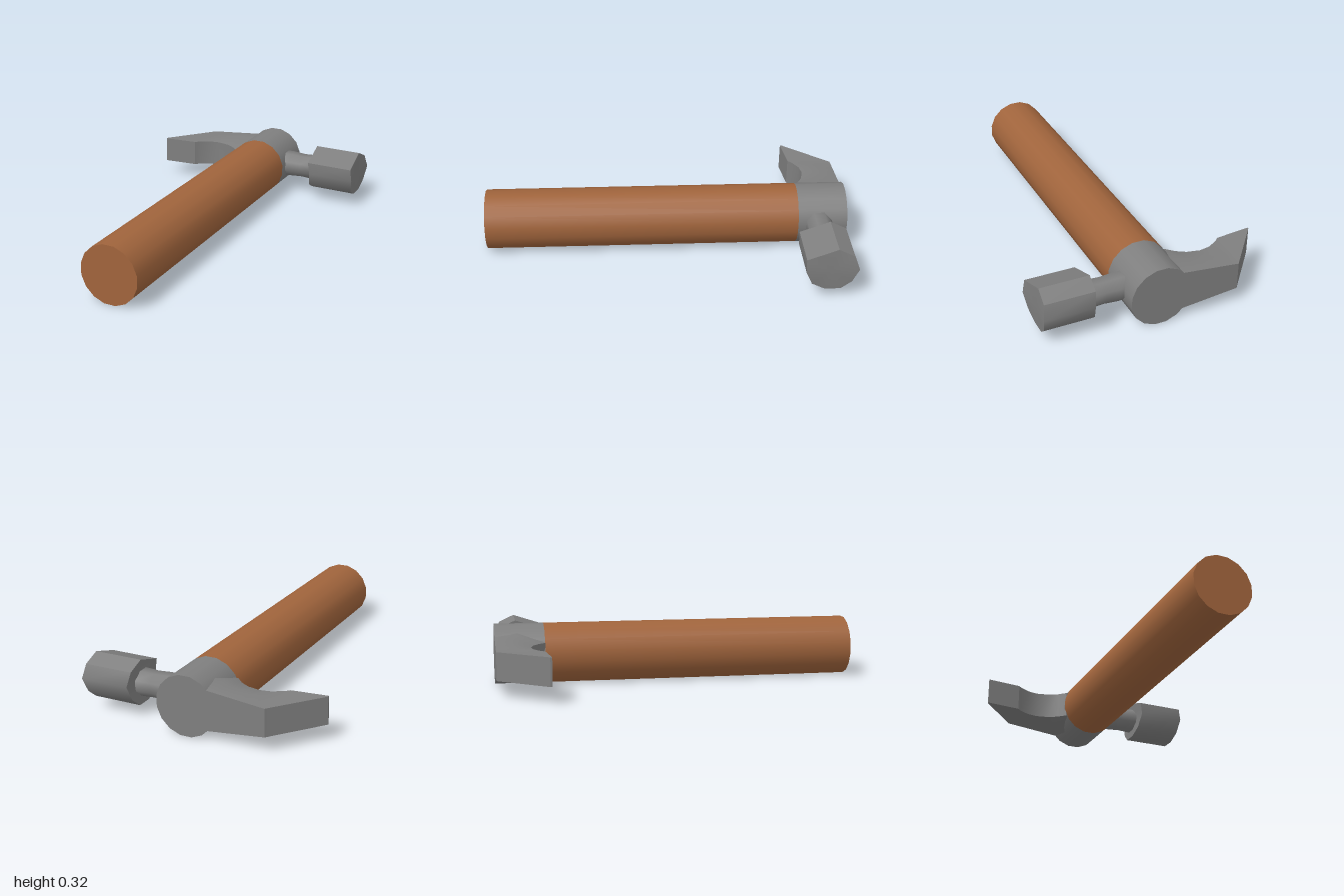
import * as THREE from 'three';
import { toCreasedNormals } from 'three/addons/utils/BufferGeometryUtils.js';

const steel = new THREE.MeshStandardMaterial({ color: 0x7f7f7f });
const wood = new THREE.MeshStandardMaterial({ color: 0xa0643c });

// Skin over rings of [x, y, z] points, ordered along +x, each counterclockwise seen from +x
function loft(rings, crease) {
  const n = rings[0].length;
  const pos = [];
  const tri = (...pts) => pts.forEach((p) => pos.push(...p));
  const centre = (ring) => [0, 1, 2].map((k) => ring.reduce((s, p) => s + p[k], 0) / n);
  for (let i = 0; i < rings.length - 1; i++) {
    for (let j = 0; j < n; j++) {
      const k = (j + 1) % n;
      const [a, b, c, d] = [rings[i][j], rings[i][k], rings[i + 1][j], rings[i + 1][k]];
      tri(a, b, c);
      tri(b, d, c);
    }
  }
  const first = rings[0], last = rings[rings.length - 1];
  for (let j = 0; j < n; j++) {
    const k = (j + 1) % n;
    tri(centre(first), first[k], first[j]);
    tri(centre(last), last[j], last[k]);
  }
  const g = new THREE.BufferGeometry();
  g.setAttribute('position', new THREE.Float32BufferAttribute(pos, 3));
  g.computeVertexNormals();
  return toCreasedNormals(g, crease);
}

// Round bar along z
function bar(z0, z1) {
  const g = new THREE.CylinderGeometry(0.165, 0.165, z1 - z0, 16);
  g.rotateY(Math.PI / 16);
  g.rotateX(Math.PI / 2);
  g.translate(0.015, 0.165, (z0 + z1) / 2);
  return g;
}

export function createModel() {
  const group = new THREE.Group();
  const add = (name, geometry, material) => {
    const mesh = new THREE.Mesh(geometry, material);
    mesh.name = name;
    group.add(mesh);
  };

  add('handle', bar(-0.73, 1), wood);
  add('headSocket', bar(-1, -0.73), steel);

  // Claw: six-sided sections as [x, back z, front z], flaring towards the socket
  const clawSections = [
    [-0.635, -0.74, -0.73], [-0.44, -0.975, -0.75], [-0.42, -1, -0.77],
    [-0.36, -1, -0.805], [-0.3, -1, -0.815], [-0.23, -1, -0.8],
    [-0.18, -1, -0.77], [-0.14, -1, -0.73], [0, -1, -0.73],
  ];
  const claw = clawSections.map(([x, back, front]) => {
    const y = 0.165, thin = 0.075;
    const wide = thin + Math.max(0, x + 0.42) * 0.15;
    const mid = back * 0.55 + front * 0.45;
    const rear = thin + (wide - thin) * 0.7;
    return [
      [x, y - rear, back], [x, y + rear, back], [x, y + wide, mid],
      [x, y + thin, front], [x, y - thin, front], [x, y - wide, mid],
    ];
  });
  add('claw', loft(claw, 0.6), steel);

  // Neck between socket and striking head, slightly waisted
  const neck = [[0.1, 0.075], [0.2, 0.075], [0.27, 0.07], [0.37, 0.075]].map(([x, r]) =>
    Array.from({ length: 8 }, (_, i) => {
      const a = ((i + 0.5) / 8) * Math.PI * 2;
      return [x, 0.175 + r * Math.sin(a), -0.845 - r * Math.cos(a)];
    }));
  add('neck', loft(neck, 0.9), steel);

  // Striking head: uneven nine-sided block as [z, y], swept back at top and bottom
  const outline = [
    [-0.983, 0.19], [-0.955, 0.265], [-0.87, 0.305], [-0.765, 0.27], [-0.705, 0.25],
    [-0.705, 0.18], [-0.74, 0.1], [-0.81, 0.062], [-0.895, 0.062], [-0.95, 0.11],
  ];
  const head = [0.365, 0.635].map((x) =>
    outline.map(([z, y]) => [x - 0.16 * Math.abs(y - 0.183), y, z]));
  add('strikingHead', loft(head, 0.75), steel);

  return group;
}
